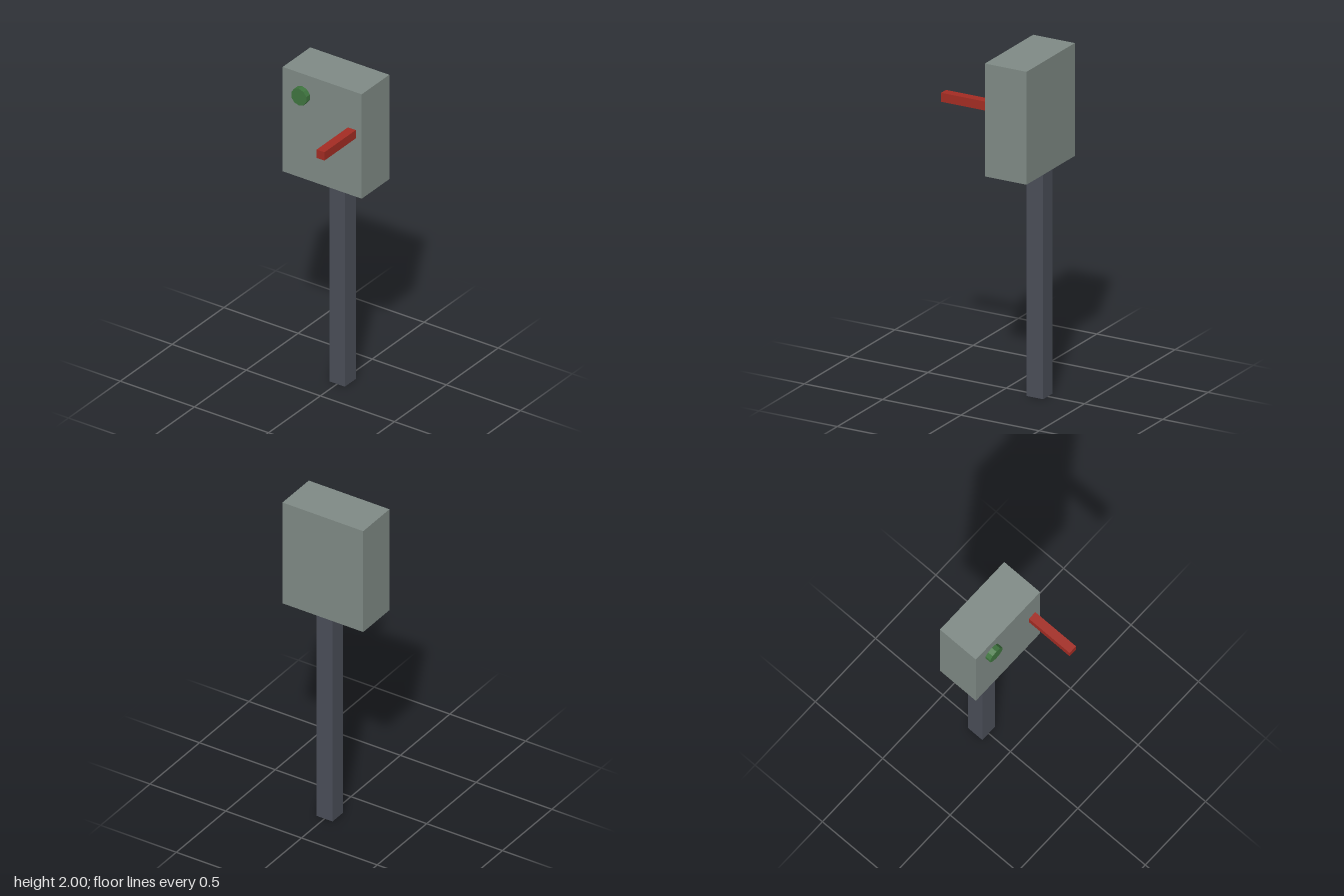
import * as THREE from 'three';

const material = (name, color) => {
  const m = new THREE.MeshStandardMaterial({ color });
  m.name = name;
  return m;
};

export function createModel() {
  const grey = material('grey green casing', 0x7f8a85);
  const slate = material('dark slate post', 0x4a4e58);
  const red = material('red lever', 0xa32c23);
  const green = material('green button', 0x3f753f);
  green.flatShading = true;

  const model = new THREE.Group();
  model.name = 'leverBoxOnPost';
  const add = (name, geometry, mat, x, y, z) => {
    const mesh = new THREE.Mesh(geometry, mat);
    mesh.name = name;
    mesh.position.set(x, y, z);
    model.add(mesh);
  };

  // Upright post, set towards the back of the casing
  add('post', new THREE.BoxGeometry(0.105, 1.335, 0.105), slate, 0, 0.6675, -0.214);

  // Casing on top of the post
  add('casing', new THREE.BoxGeometry(0.533, 0.665, 0.266), grey, 0, 1.6675, -0.151);

  // Ten-sided button on the front face
  const button = new THREE.CylinderGeometry(0.0533, 0.0533, 0.034, 10).rotateX(Math.PI / 2);
  add('button', button, green, -0.134, 1.867, -0.001);

  // Lever sticking straight out of the front
  add('lever', new THREE.BoxGeometry(0.053, 0.053, 0.302), red, 0.2, 1.733, 0.133);

  return model;
}
